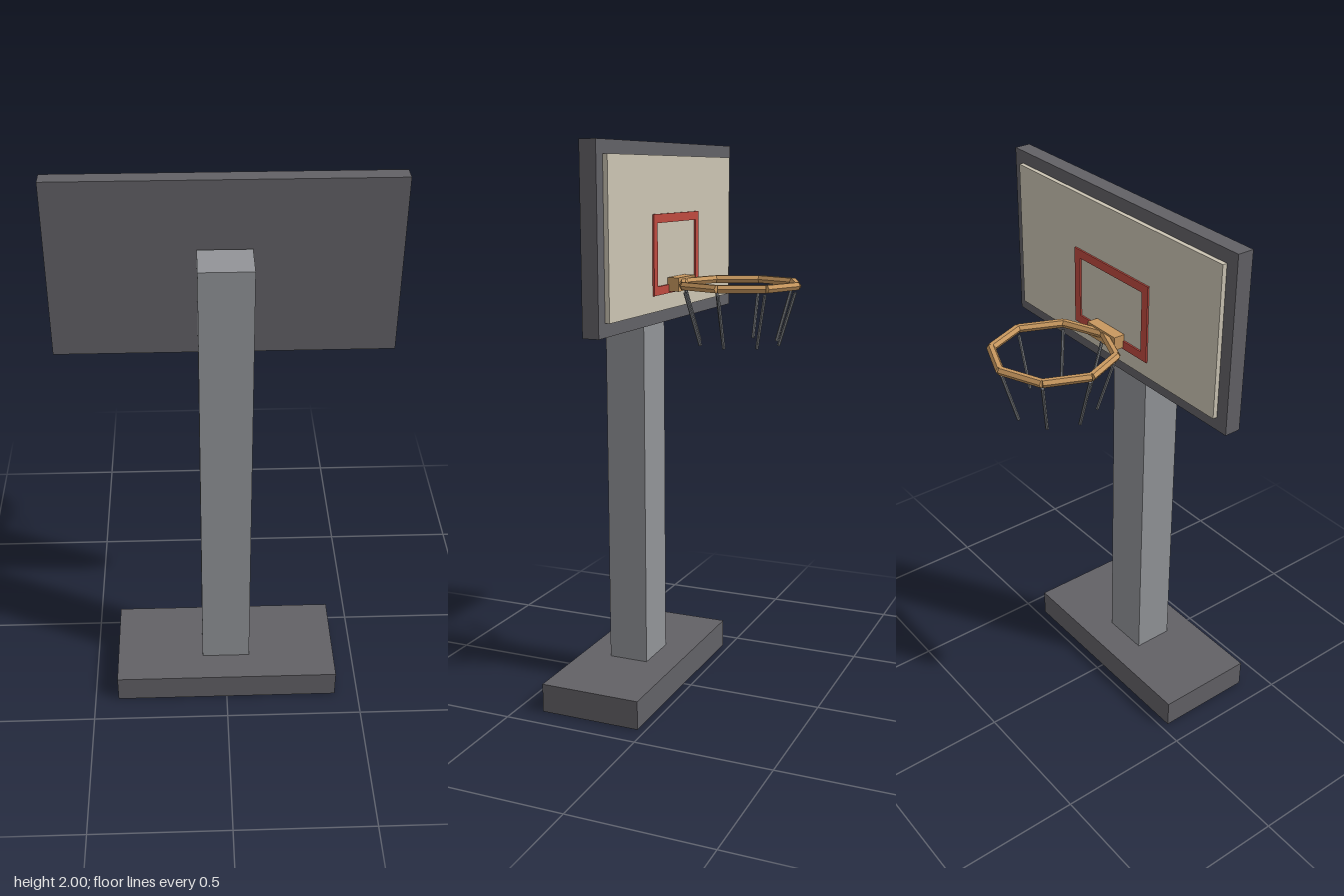
import * as THREE from 'three';

const mat = (name, color, flatShading = true) => {
  const m = new THREE.MeshStandardMaterial({ color, flatShading });
  m.name = name;
  return m;
};

export function createModel() {
  const group = new THREE.Group();
  const dark = mat('darkGrey', 0x626166);
  const steel = mat('steelGrey', 0x929498);
  const cream = mat('cream', 0xcbc4b3);
  const red = mat('red', 0xbe4a40);
  const orange = mat('orange', 0xc8985f);
  const cord = mat('cordGrey', 0x75787d);

  // Box given by its lower and upper corners
  const box = (name, material, [x0, y0, z0], [x1, y1, z1]) => {
    const mesh = new THREE.Mesh(new THREE.BoxGeometry(x1 - x0, y1 - y0, z1 - z0), material);
    mesh.position.set((x0 + x1) / 2, (y0 + y1) / 2, (z0 + z1) / 2);
    mesh.name = name;
    group.add(mesh);
  };

  // Six-sided rod between two points, with a flat facet facing up when level
  const rod = (name, material, a, b, radius) => {
    const dir = b.clone().sub(a);
    const geo = new THREE.CylinderGeometry(radius, radius, dir.length(), 6);
    geo.rotateX(Math.PI / 2); // axis along z
    geo.rotateZ(Math.PI / 6);
    const mesh = new THREE.Mesh(geo, material);
    // keep a flat facet on top: corners lie on the horizontal axis
    const corner = new THREE.Vector3().fromBufferAttribute(geo.attributes.position, 0);
    if (Math.abs(corner.y) > 0.01 * radius) geo.rotateZ(-Math.atan2(corner.y, corner.x));
    mesh.position.copy(a).add(b).multiplyScalar(0.5);
    mesh.lookAt(b);
    mesh.name = name;
    group.add(mesh);
  };

  // Stand
  box('base', dark, [-0.413, 0, 0.029], [0.413, 0.105, 0.404]);
  box('pole', steel, [-0.089, 0.105, 0.143], [0.089, 1.77, 0.292]);

  // Backboard and its playing face
  box('backboard', dark, [-0.57, 1.386, 0.074], [0.57, 2, 0.132]);
  box('boardFace', cream, [-0.525, 1.432, 0.058], [0.525, 1.956, 0.074]);

  // Target rectangle
  const X = 0.196, LOW = 1.488, HIGH = 1.762, BAR = 0.03, Z0 = 0.052, Z1 = 0.058;
  box('targetTop', red, [-X, HIGH - BAR, Z0], [X, HIGH, Z1]);
  box('targetBottom', red, [-X, LOW, Z0], [X, LOW + BAR, Z1]);
  for (const s of [-1, 1]) {
    const c = s * (X - BAR / 2);
    box('targetSide', red, [c - BAR / 2, LOW + BAR, Z0], [c + BAR / 2, HIGH - BAR, Z1]);
  }

  // Hoop bracket
  box('hoopBracket', orange, [-0.075, 1.494, 0.015], [0.075, 1.542, 0.056]);

  // Octagonal rim and hanging net cords
  const onRing = (i, r, y) => {
    const t = (i * Math.PI) / 4;
    return new THREE.Vector3(Math.sin(t) * r, y, -0.182 + Math.cos(t) * r);
  };
  for (let i = 0; i < 8; i++) {
    rod('rimSegment', orange, onRing(i, 0.209, 1.522), onRing(i + 1, 0.209, 1.522), 0.015);
    rod('netCord', cord, onRing(i, 0.203, 1.5), onRing(i, 0.146, 1.315), 0.006);
  }
  return group;
}
